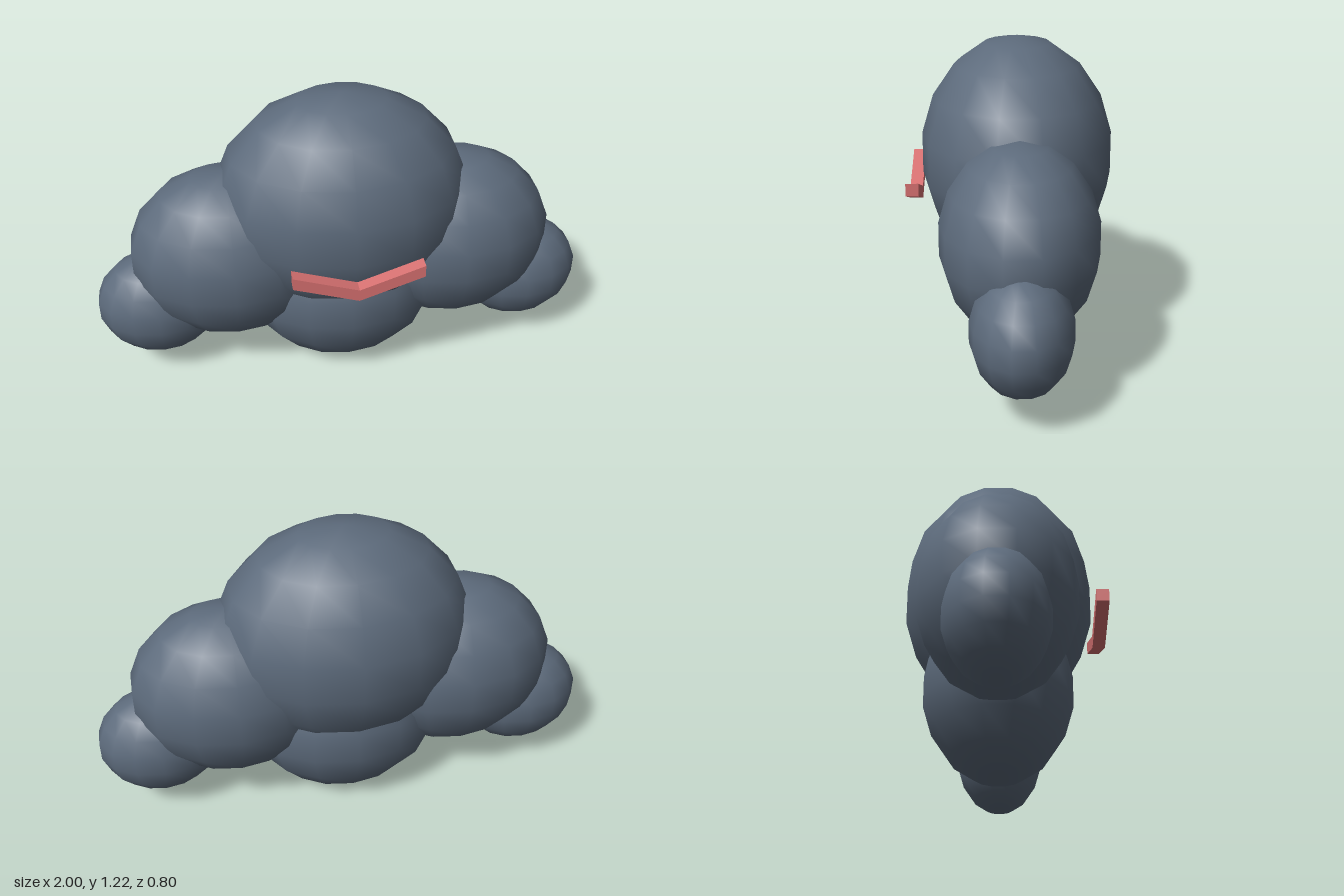
import * as THREE from 'three';

export function createModel() {
  const group = new THREE.Group();
  const slate = new THREE.MeshStandardMaterial({ color: 0x5d6b7c });
  slate.name = 'slate';
  const coral = new THREE.MeshStandardMaterial({ color: 0xd97272 });
  coral.name = 'coral';

  // One cloud puff: a coarse smooth ball, wide in x and flattened in z
  const ball = new THREE.SphereGeometry(1, 14, 9).rotateY(Math.PI / 2);
  function puff(name, x, y, r) {
    const geo = ball.clone().scale(r * 1.1, r, r * 0.815);
    const mesh = new THREE.Mesh(geo, slate);
    mesh.name = name;
    mesh.position.set(x, y, -0.028);
    group.add(mesh);
  }

  puff('topPuff', 0, 0.752, 0.467);
  puff('bottomPuff', 0, 0.37, 0.368);
  for (const [side, s] of [['left', 1], ['right', -1]]) {
    puff(side + 'MiddlePuff', s * 0.455, 0.548, 0.368);
    puff(side + 'OuterPuff', s * 0.76, 0.322, 0.228);
  }

  // Bent mouth bar floating just ahead of the cloud
  const bar = new THREE.Shape([
    [-0.25, 0.645], [0, 0.56], [0.25, 0.645],
    [0.25, 0.695], [0, 0.61], [-0.25, 0.695],
  ].map(([x, y]) => new THREE.Vector2(x, y)));
  const mouth = new THREE.Mesh(
    new THREE.ExtrudeGeometry(bar, { depth: 0.05, bevelEnabled: false }), coral);
  mouth.name = 'mouth';
  mouth.position.z = 0.35;
  group.add(mouth);

  return group;
}
